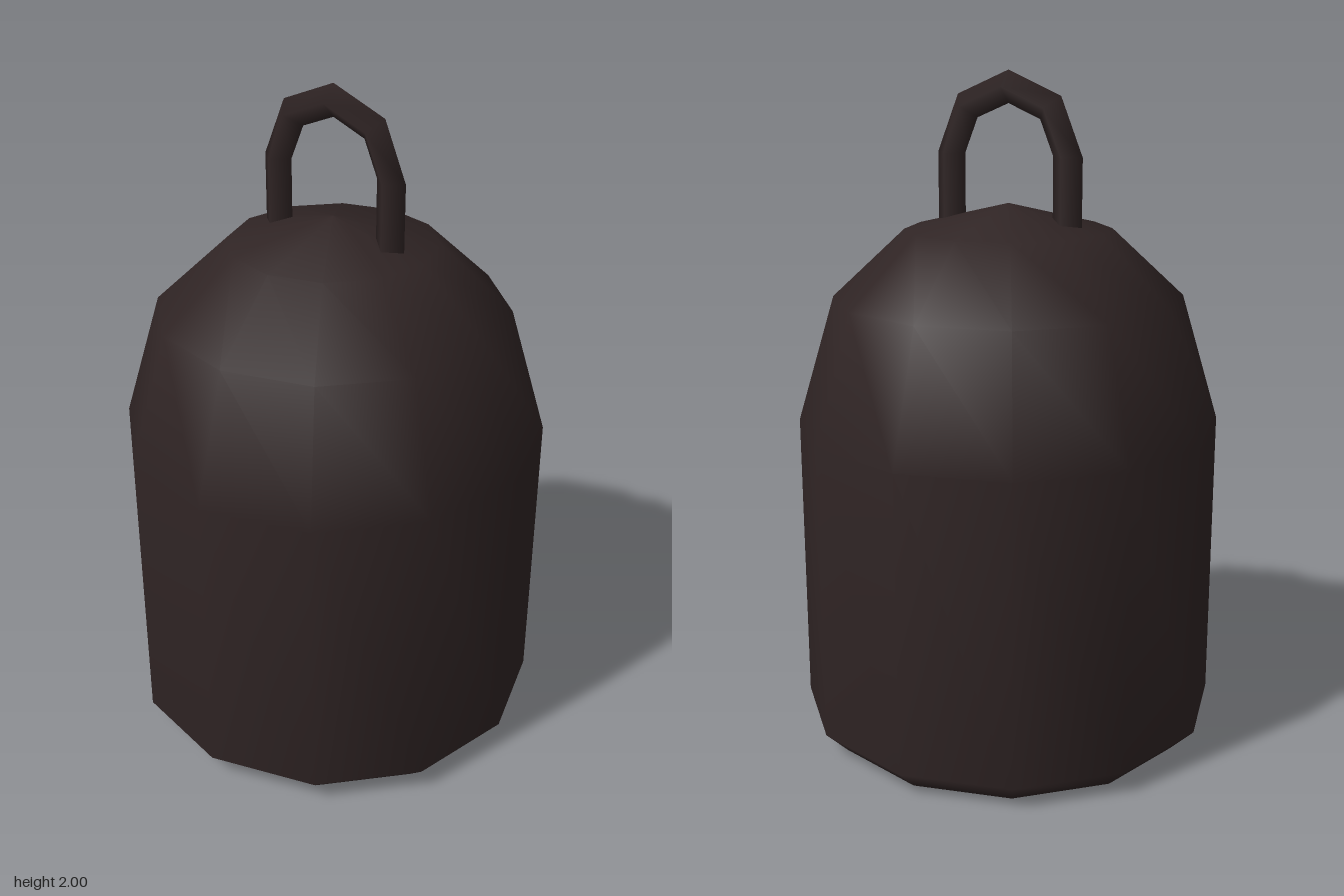
import * as THREE from 'three';

export function createModel() {
  const group = new THREE.Group();
  const darkIron = new THREE.MeshStandardMaterial({ color: 0x2f2424 });
  darkIron.name = 'darkIron';

  const add = (name, geometry, parent) => {
    const mesh = new THREE.Mesh(geometry, darkIron);
    mesh.name = name;
    parent.add(mesh);
    return mesh;
  };

  // Twelve-sided domed body with a bevelled foot, closed underneath
  const profile = [
    [0, 0], [0.565, 0], [0.636, 0.07], [0.636, 0.965],
    [0.522, 1.345], [0.307, 1.545], [0, 1.62],
  ].map(([r, y]) => new THREE.Vector2(r, y));
  add('body', new THREE.LatheGeometry(profile, 12), group);

  // Loop handle: half ring on two straight legs, diamond cross-section
  const radius = 0.193, tube = 0.047, springY = 1.76, footY = 1.55;
  const handle = new THREE.Group();
  handle.name = 'handle';
  group.add(handle);

  const arch = new THREE.TorusGeometry(radius, tube, 4, 4, Math.PI);
  arch.rotateY(Math.PI / 2).translate(0, springY, 0);
  add('handleArch', arch, handle);

  for (const [name, side] of [['frontLeg', 1], ['backLeg', -1]]) {
    const leg = new THREE.CylinderGeometry(tube, tube, springY - footY, 4, 1, true);
    leg.translate(0, (springY + footY) / 2, side * radius);
    add(name, leg, handle);
  }

  return group;
}
